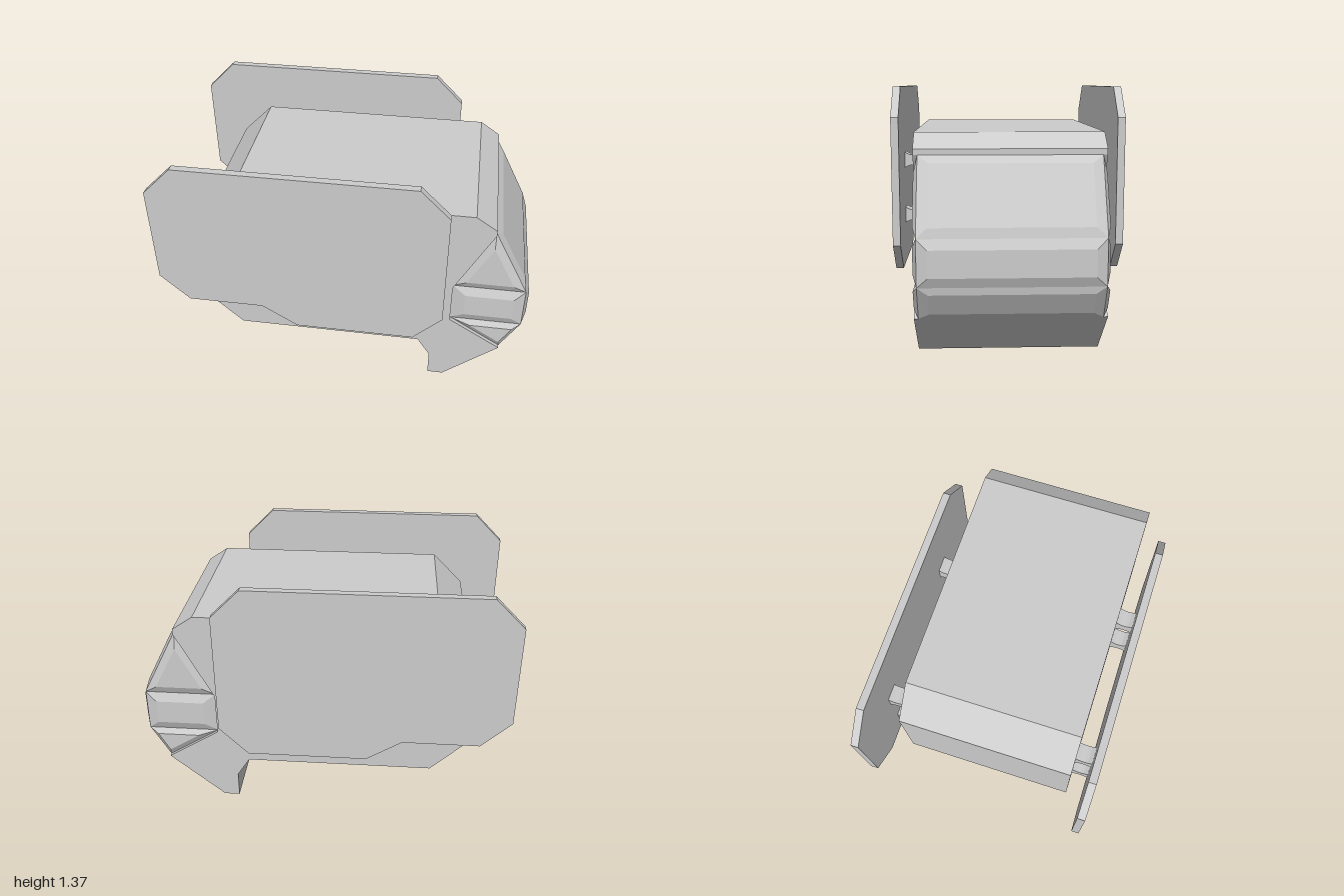
import * as THREE from 'three';

const material = new THREE.MeshStandardMaterial({ color: 0xcccccc, flatShading: true });

// Extrude a profile of [x, y] points between two depths
function slab(name, points, z0, z1) {
  const shape = new THREE.Shape(points.map(([x, y]) => new THREE.Vector2(x, y)));
  const geo = new THREE.ExtrudeGeometry(shape, { depth: z1 - z0, bevelEnabled: false });
  geo.translate(0, 0, z0);
  const mesh = new THREE.Mesh(geo, material);
  mesh.name = name;
  return mesh;
}

// Raised pane: sloping rim from outer to inner corners, then a flat centre
function pane(name, outer, inner) {
  const n = outer.length;
  const index = [];
  for (let i = 0; i < n; i++) {
    const j = (i + 1) % n;
    index.push(i, j, n + j, i, n + j, n + i);
    if (i > 0 && i < n - 1) index.push(n, n + i, n + j);
  }
  const geo = new THREE.BufferGeometry();
  geo.setAttribute('position', new THREE.Float32BufferAttribute([...outer, ...inner].flat(), 3));
  geo.setIndex(index);
  geo.computeVertexNormals();
  const mesh = new THREE.Mesh(geo, material);
  mesh.name = name;
  return mesh;
}

export function createModel() {
  const model = new THREE.Group();
  model.name = 'craft';

  // Hull with chamfered rear, chin and a notch for the cockpit
  model.add(slab('hull', [
    [-0.77, 0.42], [-0.6, 0.255], [0.42, 0.255], [0.49, 0.145], [0.49, 0], [0.575, 0],
    [0.875, 0.255], [0.59, 0.435], [0.59, 0.67], [0.785, 1.045], [0.785, 1.075],
    [0.675, 1.15], [-0.6, 1.15], [-0.77, 0.98],
  ], -0.475, 0.475));

  // Cockpit core behind the panes
  model.add(slab('cockpit', [
    [0.59, 0.435], [0.875, 0.255], [0.978, 0.435], [0.978, 0.67], [0.785, 1.045], [0.59, 0.67],
  ], -0.453, 0.453));

  // Front panes: [x, y] of outer bottom/top and inner bottom/top
  const frontPanes = [
    [[0.978, 0.67], [0.785, 1.045], [0.968, 0.72], [0.82, 1.008]],
    [[0.978, 0.435], [0.978, 0.67], [1, 0.485], [1, 0.62]],
    [[0.875, 0.255], [0.978, 0.435], [0.907, 0.285], [0.972, 0.397]],
  ];
  for (const [a, b, c, d] of frontPanes) {
    const ring = (lo, hi, w) => [[...lo, w], [...lo, -w], [...hi, -w], [...hi, w]];
    model.add(pane('frontPane', ring(a, b, 0.453), ring(c, d, 0.4)));
  }

  // Side panes, counter-clockwise seen from +z: outer and inner corners
  const sidePanes = [
    [[[0.59, 0.67], [0.978, 0.67], [0.785, 1.045]], [[0.66, 0.715], [0.91, 0.715], [0.785, 0.955]]],
    [[[0.59, 0.435], [0.978, 0.435], [0.978, 0.67], [0.59, 0.67]],
      [[0.66, 0.485], [0.92, 0.485], [0.92, 0.62], [0.66, 0.62]]],
    [[[0.59, 0.435], [0.875, 0.255], [0.978, 0.435]], [[0.7, 0.405], [0.87, 0.298], [0.93, 0.405]]],
  ];
  for (const side of [1, -1]) {
    for (const [outer, inner] of sidePanes) {
      const lift = (pts, z) => {
        const out = pts.map(([x, y]) => [x, y, z * side]);
        return side > 0 ? out : out.reverse();
      };
      model.add(pane('sidePane', lift(outer, 0.453), lift(inner, 0.474)));
    }

    // Large side panel
    const [z0, z1] = side > 0 ? [0.563, 0.603] : [-0.603, -0.563];
    model.add(slab('sidePanel', [
      [-1, 0.665], [-0.845, 0.515], [-0.435, 0.515], [-0.245, 0.395], [0.395, 0.395],
      [0.55, 0.55], [0.55, 1.215], [0.395, 1.37], [-0.845, 1.37], [-1, 1.215],
    ], z0, z1));

    // Waisted struts joining panel and hull
    for (const x of [-0.64, 0.15]) {
      for (const y of [0.965, 0.655]) {
        const strut = slab('strut', [
          [0.46, -0.045], [0.475, -0.043], [0.5, -0.031], [0.52, -0.028], [0.54, -0.031], [0.565, -0.043],
          [0.565, 0.043], [0.54, 0.031], [0.52, 0.028], [0.5, 0.031], [0.475, 0.043], [0.46, 0.045],
        ], -0.045, 0.045);
        strut.rotation.y = -side * Math.PI / 2;
        strut.position.set(x, y, 0);
        model.add(strut);
      }
    }
  }
  return model;
}
